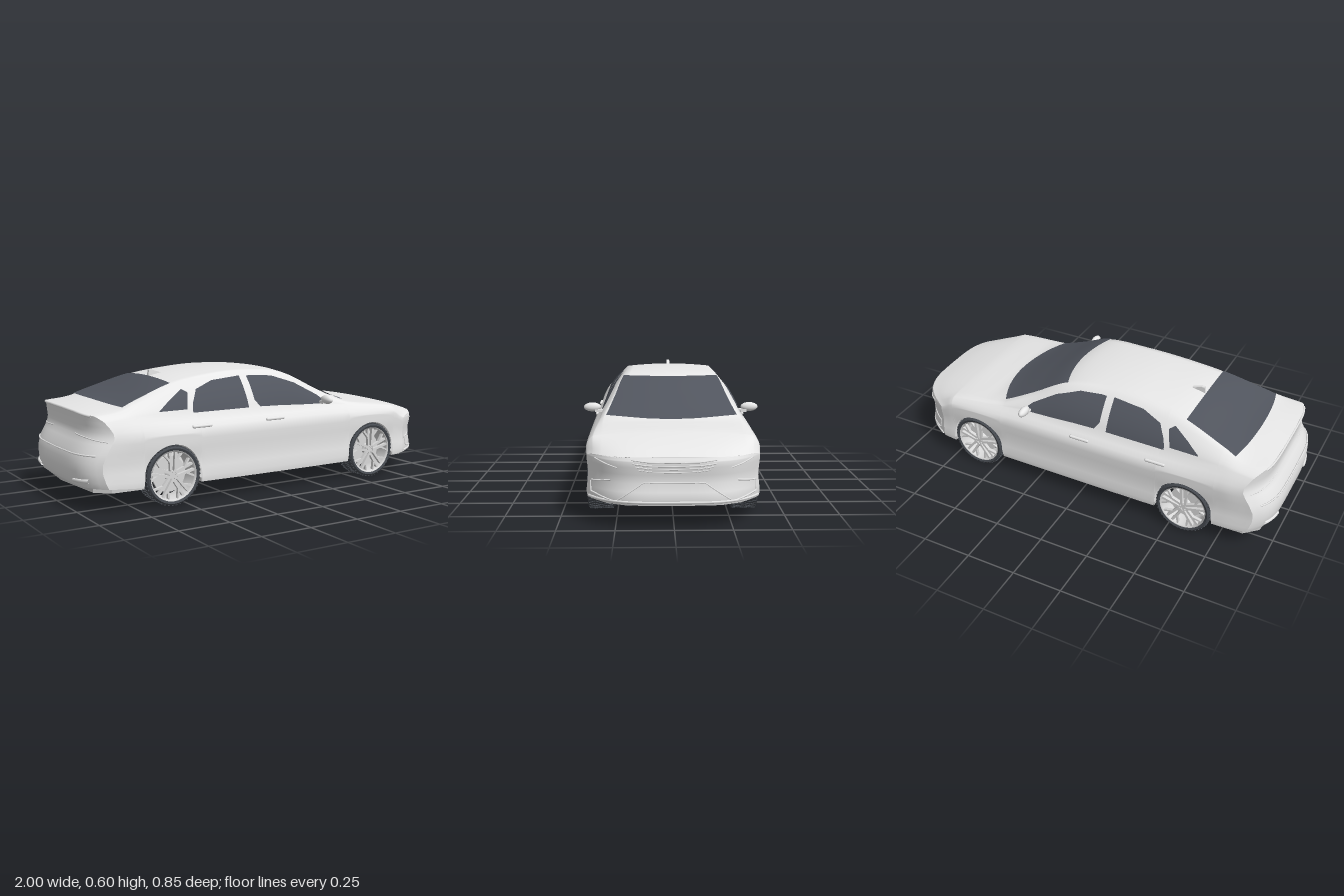
import * as THREE from 'three';
import { mergeGeometries, toCreasedNormals } from 'three/addons/utils/BufferGeometryUtils.js';

const material = (name, color) => {
  const m = new THREE.MeshStandardMaterial({ color, side: THREE.DoubleSide });
  m.name = name;
  return m;
};

// Smooth curve through [x, value] keys, clamped at the ends
function curve(keys) {
  const n = keys.length - 1;
  const slope = (i) => {
    const a = keys[Math.max(i - 1, 0)], b = keys[Math.min(i + 1, n)];
    return (b[1] - a[1]) / (b[0] - a[0]);
  };
  return (x) => {
    if (x <= keys[0][0]) return keys[0][1];
    if (x >= keys[n][0]) return keys[n][1];
    let i = 0;
    while (x > keys[i + 1][0]) i++;
    const [x0, y0] = keys[i], [x1, y1] = keys[i + 1], h = x1 - x0, u = (x - x0) / h;
    return y0 * (1 + 2 * u) * (1 - u) ** 2 + slope(i) * h * u * (1 - u) ** 2
      + y1 * u * u * (3 - 2 * u) + slope(i + 1) * h * u * u * (u - 1);
  };
}
const lerp = THREE.MathUtils.lerp;

// Surface made from a grid of points
function grid(rows, cols, point) {
  const pos = [], idx = [];
  for (let i = 0; i <= rows; i++) for (let j = 0; j <= cols; j++) pos.push(...point(i, j));
  for (let i = 0; i < rows; i++) for (let j = 0; j < cols; j++) {
    const a = i * (cols + 1) + j, b = a + cols + 1;
    idx.push(a, b, b + 1, a, b + 1, a + 1);
  }
  const g = new THREE.BufferGeometry();
  g.setAttribute('position', new THREE.Float32BufferAttribute(pos, 3));
  g.setIndex(idx);
  g.computeVertexNormals();
  return g;
}

// Body lines along the length: centre line, roof rail, belt and shoulder
const topY = curve([[-1, .447], [-.9, .46], [-.74, .483], [-.51, .563], [-.28, .592], [-.12, .597], [.04, .588],
  [.16, .565], [.33, .483], [.51, .405], [.6, .393], [.73, .38], [.89, .345], [1, .312]]);
const railY = curve([[-1, .438], [-.82, .455], [-.52, .545], [-.3, .578], [-.1, .586], [.12, .563], [.3, .473],
  [.44, .408], [.52, .393], [.7, .374], [.88, .34], [1, .306]]);
const railZ = curve([[-1, .3], [-.82, .292], [-.52, .24], [-.3, .22], [-.1, .215], [.12, .237], [.3, .28], [.44, .317], [.7, .312], [1, .31]]);
const beltY = curve([[-1, .41], [-.8, .418], [-.5, .402], [.3, .396], [.5, .383], [.75, .36], [.88, .332], [1, .302]]);
const beltZ = curve([[-1, .345], [-.8, .343], [-.5, .34], [.4, .342], [.75, .357], [1, .352]]);
const shoulderY = curve([[-1, .34], [-.5, .335], [.5, .332], [.8, .32], [1, .29]]);
const shoulderZ = curve([[-1, .376], [-.8, .384], [.8, .384], [1, .38]]);
const flank = curve([[.09, .378], [.13, .384], [.2, .376], [.28, .383], [.34, .384]]);
const sillY = curve([[-1, .115], [-.75, .105], [-.4, .097], [.4, .097], [1, .105]]);
const noseX = curve([[.1, -.012], [.13, 0], [.2, -.015], [.25, -.008], [.28, 0], [.31, -.012]]);
const tailX = curve([[.11, .02], [.15, .002], [.25, 0], [.28, .015], [.35, .05], [.4, .048], [.447, .042]]);

const WHEEL_X = [-.575, .59], WHEEL_R = .141, ARCH_R = .147;

// Rounds the nose and tail in plan and in profile
function place(t, y, z) {
  const w = Math.max(0, (Math.abs(t) - .74) / .26), r = Math.abs(z) / .385;
  return [t > 0 ? t + w * (noseX(y) - .2 * r ** 4) : t + w * (tailX(y) + .1 * r ** 5), y, z];
}
function bottomY(t) {
  for (const x of WHEEL_X) {
    const d = Math.abs(t - x);
    if (d <= ARCH_R + 1e-6) return WHEEL_R + Math.sqrt(Math.max(0, ARCH_R ** 2 - d * d));
  }
  return sillY(t);
}
function sideZ(t, y) {
  const ys = shoulderY(t), yb = beltY(t), zs = shoulderZ(t), zb = beltZ(t);
  if (y <= ys) return flank(y) * zs / .384;
  if (y <= yb) {
    const q = (y - ys) / (yb - ys);
    return lerp(zs, zb, q) + .02 * q * (1 - q);
  }
  const q = Math.min(1, (y - yb) / (railY(t) - yb)), zr = railZ(t);
  return lerp(zb, zr, q) + .55 * (zb - zr) * q * (1 - q);
}
function roofY(t, z) {
  const r = Math.min(1, Math.abs(z) / railZ(t));
  return lerp(topY(t), railY(t), r * r);
}
// Half of a cross-section, from the sill to the centre line
function section(t) {
  const pts = [], y0 = bottomY(t), ys = shoulderY(t), yb = beltY(t), yr = railY(t);
  const climb = (a, b, steps) => steps.forEach((f) => pts.push([lerp(a, b, f), sideZ(t, lerp(a, b, f))]));
  climb(y0, ys, [0, .12, .3, .5, .7, .88, 1]);
  climb(ys, yb, [.35, .7, 1]);
  climb(yb, yr, [.17, .33, .5, .67, .83, 1]);
  for (let k = 1; k <= 8; k++) {
    const z = railZ(t) * (1 - k / 8);
    pts.push([roofY(t, z), z]);
  }
  return pts;
}

export function createModel() {
  const car = new THREE.Group();
  const paint = material('body paint', 0xe8e8e8);
  const glass = material('dark glass', 0x51555e);
  const rubber = material('tyre rubber', 0x464a50);
  const alloy = material('wheel alloy', 0xd8d8d8);
  const under = material('underbody grey', 0xcacaca);
  const add = (name, geo, mat, parent = car) => {
    const m = new THREE.Mesh(geo, mat);
    m.name = name;
    parent.add(m);
    return m;
  };

  // Body shell: stations every few centimetres, closer round the wheel arches
  const stations = [];
  for (let i = 0; i <= 64; i++) {
    const t = -1 + i / 32;
    if (WHEEL_X.every((x) => Math.abs(t - x) > ARCH_R + .008)) stations.push(t);
  }
  for (const x of WHEEL_X) {
    stations.push(x - ARCH_R - .004, x + ARCH_R + .004);
    for (let k = 0; k <= 24; k++) stations.push(x - ARCH_R * Math.cos(Math.PI * k / 24));
  }
  stations.sort((a, b) => a - b);
  const rings = stations.map((t) => {
    const half = section(t), other = half.slice(0, -1).reverse().map(([y, z]) => [y, -z]);
    return [...half, ...other].map(([y, z]) => place(t, y, z));
  });
  add('bodyShell', grid(rings.length - 1, rings[0].length - 1, (i, j) => rings[i][j]), paint);

  // Nose and tail faces
  for (const end of [1, -1]) {
    const rows = section(end);
    add(end > 0 ? 'noseFace' : 'tailFace', grid(rows.length - 1, 32, (i, j) =>
      place(end, rows[i][0], -end * rows[i][1] * (j / 16 - 1))), paint);
  }

  // Windscreen and rear window
  const screen = (name, rear, front, bowRear, bowFront, wRear, wFront) => add(name, grid(20, 16, (i, j) => {
    const u = i / 20, r = 1 - j / 8, z = r * lerp(wRear, wFront, u);
    const t = lerp(rear - bowRear * r * r, front - bowFront * r * r, u);
    const p = place(t, roofY(t, z), z);
    return [p[0], p[1] + .005, p[2]];
  }), glass);
  screen('windscreen', .165, .53, .045, .085, .234, .31);
  screen('rearWindow', -.83, -.52, -.03, -.005, .287, .235);

  // Side windows as [x, lower y, upper y] columns
  const windows = {
    frontDoorWindow: [[-.1, .45, .56], [-.075, .417, .561], [.04, .414, .553], [.16, .408, .513], [.28, .404, .446], [.318, .402, .412]],
    rearDoorWindow: [[-.447, .417, .432], [-.435, .417, .465], [-.4, .417, .518], [-.3, .417, .551], [-.14, .417, .563]],
    quarterWindow: [[-.62, .434, .437], [-.55, .434, .482], [-.475, .434, .523], [-.45, .505, .507]],
  };
  for (const side of [1, -1]) for (const [name, cols] of Object.entries(windows)) {
    const n = (cols.length - 1) * 4;
    add(name, grid(n, 8, (i, j) => {
      const k = Math.min(Math.floor(i / 4), cols.length - 2), f = i / 4 - k;
      const [x, lo, hi] = cols[k].map((v, c) => lerp(v, cols[k + 1][c], f));
      const y = lerp(lo, hi, j / 8);
      return [x, y + .002, side * (sideZ(x, y) + .004)];
    }), glass);
  }

  // Raised trim lines that hug the nose and tail, given as [y, z] points
  const trim = (name, end, pts, radius = .003) => {
    const fine = [];
    for (let i = 0; i < pts.length - 1; i++) for (let k = 0; k < 6; k++)
      fine.push([lerp(pts[i][0], pts[i + 1][0], k / 6), lerp(pts[i][1], pts[i + 1][1], k / 6)]);
    fine.push(pts[pts.length - 1]);
    const path = new THREE.CatmullRomCurve3(fine.map(([y, z]) => new THREE.Vector3(...place(end, y, z))));
    add(name, new THREE.TubeGeometry(path, fine.length * 2, radius, 6), paint);
  };
  for (const [y, w] of [[.248, .15], [.262, .165], [.275, .175], [.29, .18]])
    trim('grilleBar', 1, [[y + .008, -w], [y, -w * .6], [y - .002, 0], [y, w * .6], [y + .008, w]]);
  trim('bumperLip', 1, [[.115, -.37], [.118, -.25], [.118, 0], [.118, .25], [.115, .37]], .006);
  trim('lowerIntakeFrame', 1, [[.125, -.24], [.2, -.13], [.2, .13], [.125, .24]]);
  trim('tailLedge', -1, [[.265, -.34], [.262, -.2], [.26, 0], [.262, .2], [.265, .34]], .004);
  trim('bootLip', -1, [[.435, -.28], [.442, -.15], [.443, 0], [.442, .15], [.435, .28]], .006);
  for (const s of [1, -1]) {
    trim('headlightEdge', 1, [[.262, s * .24], [.275, s * .29], [.29, s * .34]]);
    trim('foglightFrame', 1, [[.205, s * .27], [.185, s * .36], [.14, s * .36], [.115, s * .24]], .004);
    trim('tailLightEdge', -1, [[.34, s * .14], [.335, s * .25], [.325, s * .36]]);
    trim('exhaustTrim', -1, [[.14, s * .2], [.145, s * .26], [.15, s * .31]], .009);

    // Door mirrors and handles
    add('doorMirror', new THREE.SphereGeometry(1, 24, 16).scale(.02, .022, .042), paint).position.set(.293, .43, s * .383);
    add('mirrorStalk', new THREE.BoxGeometry(.03, .014, .04), paint).position.set(.295, .413, s * .35);
    for (const x of [-.42, -.012]) {
      const h = add('doorHandle', new THREE.CapsuleGeometry(.008, .09, 4, 10).rotateZ(Math.PI / 2), paint);
      h.position.set(x, .36, s * (sideZ(x, .36) + .003));
    }
  }

  // Roof aerial
  const fin = new THREE.Shape([[-.515, .555], [-.51, .593], [-.495, .592], [-.43, .57]].map((p) => new THREE.Vector2(...p)));
  add('roofAerial', new THREE.ExtrudeGeometry(fin, { depth: .016, bevelEnabled: false }).translate(0, 0, -.008), paint);

  // Flat floor with notches for the wheels
  const half = [[.965, 0], [.95, .2], [.9, .29], [.8, .365], [.739, .374], [.739, .22], [.441, .22], [.441, .374],
    [-.426, .374], [-.426, .22], [-.724, .22], [-.724, .374], [-.88, .37], [-.945, .31], [-.975, 0]];
  const outline = [...half, ...half.slice(1, -1).reverse().map(([x, z]) => [x, -z])];
  const floor = new THREE.ExtrudeGeometry(new THREE.Shape(outline.map((p) => new THREE.Vector2(...p))), { depth: .018, bevelEnabled: false });
  add('floor', floor.rotateX(Math.PI / 2).translate(0, .114, 0), under);

  // Wheel parts, built round the z axis with the outer face at +z
  const lathe = (pts) => new THREE.LatheGeometry(pts.map((p) => new THREE.Vector2(...p)), 48).rotateX(Math.PI / 2);
  const tyre = toCreasedNormals(lathe([[.116, -.054], [.13, -.06], [.137, -.053], [.138, 0], [.137, .053], [.13, .06], [.116, .054]]), .6);
  const lugs = [];
  for (let k = 0; k < 44; k++) for (const row of [-1.5, -.5, .5, 1.5]) {
    const lug = new THREE.BoxGeometry(.008, .004, .028).rotateY((Math.abs(row) > 1 ? 1 : -1) * Math.sign(row) * .5);
    lugs.push(lug.translate(0, .139, row * .0265).rotateZ(k / 44 * Math.PI * 2));
  }
  const tread = mergeGeometries(lugs);
  const barrel = lathe([[.116, -.054], [.11, -.045], [.106, 0], [.11, .045], [.113, .054], [.119, .056]]);
  const disc = new THREE.CylinderGeometry(.085, .085, .012, 40).rotateX(Math.PI / 2);
  const hub = new THREE.CylinderGeometry(.022, .03, .03, 24).rotateX(Math.PI / 2).translate(0, 0, .032);
  const spokes = [];
  const beam = (r0, a0, r1, a1, w) => {
    const p = new THREE.Vector2(r0 * Math.cos(a0), r0 * Math.sin(a0)), q = new THREE.Vector2(r1 * Math.cos(a1), r1 * Math.sin(a1));
    const d = q.clone().sub(p);
    spokes.push(new THREE.BoxGeometry(d.length(), w, .016).rotateZ(d.angle()).translate((p.x + q.x) / 2, (p.y + q.y) / 2, .043));
  };
  for (let k = 0; k < 5; k++) {
    const a = Math.PI / 2 + k * Math.PI * .4;
    for (const s of [1, -1]) {
      beam(.02, a + s * .5, .112, a + s * .14, .012);
      beam(.068, a + s * .2, .112, a + s * .42, .009);
    }
    spokes.push(new THREE.CylinderGeometry(.004, .004, .008, 8).rotateX(Math.PI / 2)
      .translate(.016 * Math.cos(a), .016 * Math.sin(a), .05));
  }
  const spokeSet = mergeGeometries(spokes);

  // Four wheels and their arch liners
  for (const x of WHEEL_X) for (const s of [1, -1]) {
    const wheel = new THREE.Group();
    wheel.name = (x > 0 ? 'front' : 'rear') + 'Wheel';
    wheel.position.set(x, WHEEL_R, s * .324);
    if (s < 0) wheel.rotation.y = Math.PI;
    add('tyre', tyre, rubber, wheel);
    add('tread', tread, rubber, wheel);
    add('rimBarrel', barrel, alloy, wheel);
    add('brakeDisc', disc, alloy, wheel);
    add('hub', hub, alloy, wheel);
    add('spokes', spokeSet, alloy, wheel);
    car.add(wheel);
    const liner = new THREE.CylinderGeometry(ARCH_R, ARCH_R, .15, 32, 1, true, Math.PI / 2, Math.PI).rotateX(Math.PI / 2);
    add('archLiner', liner, paint).position.set(x, WHEEL_R, s * .292);
    add('archWall', new THREE.CircleGeometry(ARCH_R, 32, 0, Math.PI), paint).position.set(x, WHEEL_R, s * .217);
  }
  return car;
}
